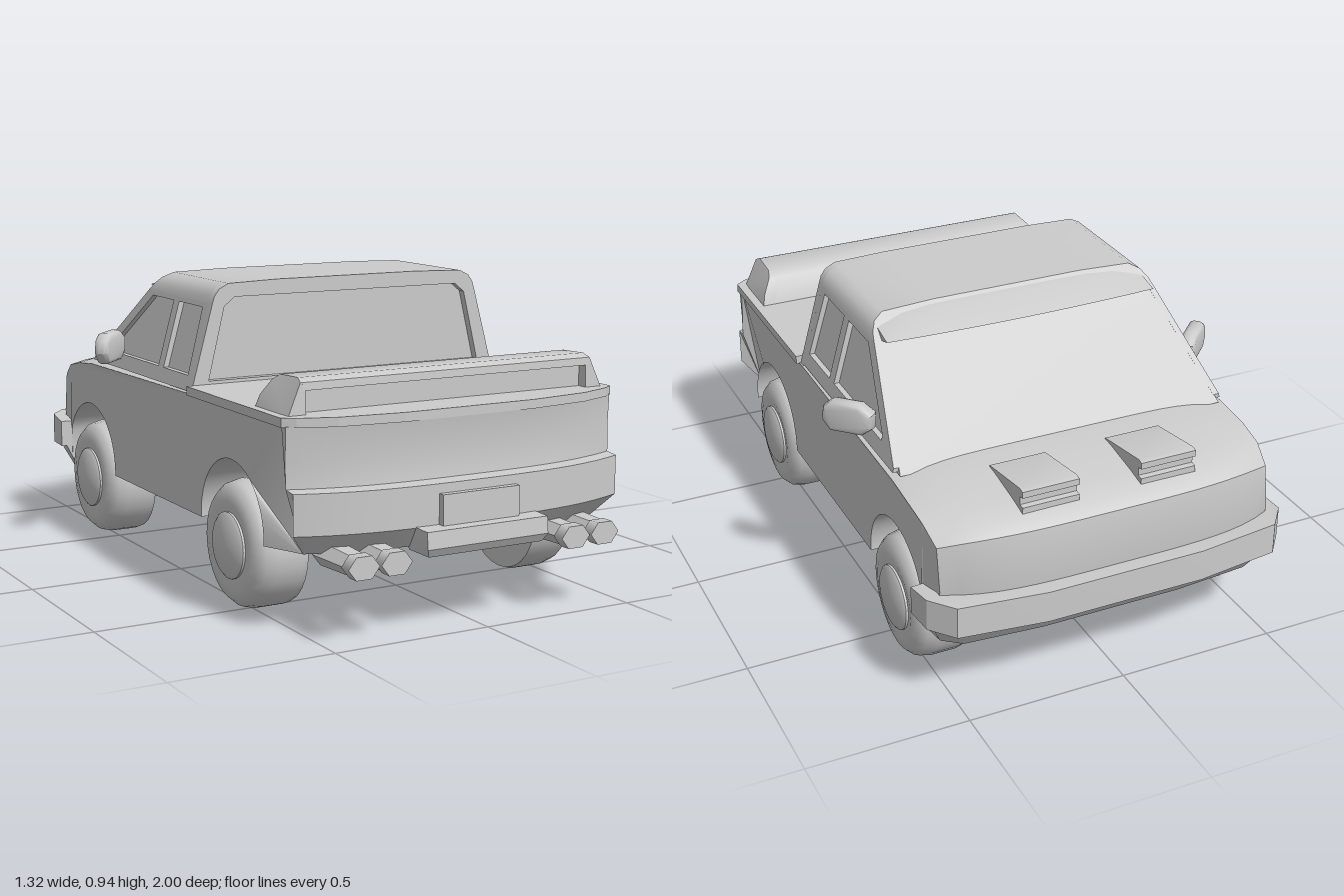
import * as THREE from 'three';
import { toCreasedNormals } from 'three/addons/utils/BufferGeometryUtils.js';

const material = new THREE.MeshStandardMaterial({ color: 0xcccccc });

const shapeOf = (pts) => new THREE.Shape(pts.map(([a, b]) => new THREE.Vector2(a, b)));
const mirrored = (half) => [...half, ...half.map(([x, y]) => [-x, y]).reverse()];
const clamp = THREE.MathUtils.clamp;

// Moves every vertex by a rule, then recomputes normals with sharp creases
function finish(geo, rule, crease = 0.6) {
  const p = geo.attributes.position;
  const v = new THREE.Vector3();
  if (rule) {
    for (let i = 0; i < p.count; i++) {
      v.fromBufferAttribute(p, i);
      rule(v);
      p.setXYZ(i, v.x, v.y, v.z);
    }
  }
  return toCreasedNormals(geo, crease);
}

// Side profile given as (z, y), extruded across x and centred
function acrossX(shape, width, steps = 1) {
  const geo = new THREE.ExtrudeGeometry(shape, { depth: width, steps, bevelEnabled: false, curveSegments: 16 });
  return geo.rotateY(-Math.PI / 2).translate(width / 2, 0, 0);
}

// Plan outline given as (x, z), extruded upward from y0
function upward(pts, y0, height) {
  const geo = new THREE.ExtrudeGeometry(shapeOf(pts.map(([x, z]) => [x, -z])), { depth: height, bevelEnabled: false });
  return geo.rotateX(-Math.PI / 2).translate(0, y0, 0);
}

export function createModel() {
  const truck = new THREE.Group();
  truck.name = 'pickupTruck';
  const add = (name, geo, x = 0, y = 0, z = 0) => {
    const mesh = new THREE.Mesh(geo, material);
    mesh.name = name;
    mesh.position.set(x, y, z);
    truck.add(mesh);
    return mesh;
  };
  const box = (name, w, h, d, x, y, z) => add(name, new THREE.BoxGeometry(w, h, d), x, y, z);

  // Lower body with wheel arches, hood and tailgate
  const body = new THREE.Shape();
  body.moveTo(-0.92, 0.235);
  body.lineTo(-0.805, 0.235);
  body.absarc(-0.6, 0.245, 0.205, Math.PI, 0, true);
  body.lineTo(-0.395, 0.235);
  body.lineTo(0.275, 0.235);
  body.absarc(0.48, 0.245, 0.205, Math.PI, 0, true);
  body.lineTo(0.685, 0.235);
  [[0.89, 0.235], [0.94, 0.3], [0.94, 0.42], [0.895, 0.425], [0.885, 0.5], [0.9, 0.6], [0.82, 0.61],
    [-0.5, 0.615], [-0.58, 0.615], [-0.7, 0.603], [-0.82, 0.583], [-0.9, 0.565], [-0.935, 0.54], [-0.955, 0.38]]
    .forEach(([z, y]) => body.lineTo(z, y));
  add('body', finish(acrossX(body, 1.11, 20), (v) => {
    const e = Math.abs(v.x) / 0.555;
    const end = clamp((Math.abs(v.z) - 0.78) / 0.12, 0, 1);
    const tuck = v.z > 0.7 ? clamp((0.3 - v.y) / 0.065, 0, 1) : 0;
    v.x *= (1 - 0.1 * tuck) * (v.z < -0.8 ? 1 - 0.03 * end : 1);
    if (v.z < -0.4 && v.y > 0.53) v.y -= 0.025 * e ** 6;
    v.z -= Math.sign(v.z) * end * (v.z > 0 ? 0.08 * e ** 3 : 0.07 * e ** 4);
  }));
  box('underbody', 0.79, 0.27, 1.62, 0, 0.36, -0.05);

  // Bed cover with overhanging lip
  const lip = mirrored([[0.565, 0.2], [0.565, 0.81], [0.53, 0.835], [0.42, 0.875], [0.22, 0.9]]);
  add('bedCover', upward(lip, 0.598, 0.027));

  // Cab core with sloping windshield
  const sideX = (y) => 0.55 - (y - 0.6) * 0.278;
  const core = mirrored([[0.533, 0.6], [0.458, 0.866], [0.475, 0.87], [0.468, 0.892], [0.452, 0.914], [0.42, 0.93], [0.25, 0.935]]);
  const extrudeZ = (shape, depth) => new THREE.ExtrudeGeometry(shape, { depth, bevelEnabled: false });
  add('cab', finish(extrudeZ(shapeOf(core), 1), (v) => {
    const front = -0.56 + (v.y - 0.63) * 1.21;
    v.z = front + (0.175 - front) * v.z;
  }));

  // Rear window surround
  const surround = shapeOf(mirrored([[0.55, 0.6], [0.475, 0.87], [0.468, 0.892], [0.452, 0.914], [0.42, 0.93], [0.25, 0.935]]));
  surround.holes.push(shapeOf([[-0.49, 0.635], [0.49, 0.635], [0.435, 0.86], [0.4, 0.888], [-0.4, 0.888], [-0.435, 0.86]]));
  add('rearWindowFrame', finish(extrudeZ(surround, 0.027), (v) => { v.z += 0.174; }));

  // Side window frames
  for (const s of [1, -1]) {
    const frame = shapeOf([[0.2, 0.605], [0.2, 0.87], [-0.27, 0.87], [-0.575, 0.618], [-0.575, 0.605]]);
    frame.holes.push(shapeOf([[0.15, 0.65], [0.14, 0.855], [-0.03, 0.855], [-0.03, 0.65]]));
    frame.holes.push(shapeOf([[-0.07, 0.65], [-0.07, 0.855], [-0.23, 0.855], [-0.46, 0.665], [-0.46, 0.65]]));
    add('sideWindowFrame', finish(acrossX(frame, 0.02), (v) => { v.x += s * (sideX(v.y) - 0.01); }));
  }

  // Roof visor over the windshield
  const visor = shapeOf([[-0.05, 0.932], [-0.15, 0.934], [-0.23, 0.922], [-0.325, 0.882], [-0.26, 0.868], [-0.05, 0.868]]);
  add('roofVisor', finish(acrossX(visor, 0.9, 10), (v) => {
    const e = Math.abs(v.x) / 0.45;
    if (v.z < -0.3) v.z += 0.015 * e ** 2;
    if (v.y > 0.9) v.y -= 0.022 * e ** 6;
  }));

  // Bed spoiler: recessed centre between two end blocks
  const spoiler = shapeOf([[0.6, 0.615], [0.615, 0.66], [0.64, 0.705], [0.67, 0.722], [0.77, 0.726], [0.795, 0.715], [0.797, 0.692], [0.765, 0.69], [0.765, 0.615]]);
  add('spoiler', finish(acrossX(spoiler, 0.98)));
  const spoilerEnd = shapeOf([[0.6, 0.615], [0.615, 0.66], [0.64, 0.705], [0.67, 0.722], [0.77, 0.726], [0.795, 0.715], [0.8, 0.615]]);
  for (const s of [1, -1]) {
    add('spoilerEnd', finish(acrossX(spoilerEnd, 0.06), (v) => {
      v.x += s * 0.51;
      if (Math.abs(v.x) > 0.5) v.x -= s * 0.05 * clamp((v.y - 0.64) / 0.085, 0, 1);
    }));
  }

  // Front bumper and lower valance
  const bumper = mirrored([[0.53, -0.79], [0.59, -0.795], [0.582, -0.89], [0.52, -0.965], [0.25, -1]]);
  add('frontBumper', finish(upward(bumper, 0.27, 0.1), (v) => {
    if (v.y > 0.3 && v.z > -0.85) v.y -= 0.012;
  }));
  add('frontValance', finish(upward(bumper, 0.187, 0.084), (v) => {
    const k = v.y < 0.2 ? 0.9 : 0.97;
    v.x *= k;
    v.z = -0.79 + (v.z + 0.79) * (v.y < 0.2 ? 0.58 : 0.88);
  }));

  // Rear step and plate panel
  const step = shapeOf([[0.88, 0.225], [0.985, 0.225], [1, 0.25], [0.995, 0.3], [0.88, 0.305]]);
  add('rearStep', finish(acrossX(step, 0.41), (v) => { if (v.y < 0.24) v.x *= 0.94; }));
  box('platePanel', 0.26, 0.09, 0.04, 0, 0.347, 0.94);

  for (const s of [1, -1]) {
    // Twin hexagonal exhaust tips
    for (const x of [0.305, 0.41]) {
      const pipe = new THREE.CylinderGeometry(0.043, 0.052, 0.18, 6).toNonIndexed();
      pipe.rotateY(Math.PI / 6).rotateX(Math.PI / 2).scale(1, 0.76, 1);
      const flat = finish(pipe, (v) => { if (v.z > 0) v.z -= 0; }, 0.3);
      add('exhaustTip', flat, s * x, 0.226, 0.89);
      add('exhaustCollar', new THREE.CylinderGeometry(0.05, 0.05, 0.04, 6).rotateY(Math.PI / 6).rotateX(Math.PI / 2).scale(1, 0.76, 1), s * x, 0.226, 0.98);
    }

    // Hood scoop with open-looking front slot
    const scoop = shapeOf([[-0.66, 0.6], [-0.66, 0.61], [-0.86, 0.642], [-0.878, 0.638], [-0.878, 0.618], [-0.862, 0.616], [-0.862, 0.59], [-0.88, 0.588], [-0.88, 0.56], [-0.68, 0.57]]);
    add('hoodScoop', finish(acrossX(scoop, 0.18)), s * 0.19);

    // Door mirror
    const head = shapeOf([[-0.07, -0.015], [-0.045, -0.035], [0.045, -0.035], [0.065, -0.01], [0.06, 0.02], [0.04, 0.035], [-0.04, 0.035], [-0.07, 0.015]]);
    const mirrorGeo = new THREE.ExtrudeGeometry(head, { depth: 0.02, bevelThickness: 0.015, bevelSize: 0.015, bevelSegments: 2 });
    mirrorGeo.translate(0, 0, -0.01);
    if (s < 0) mirrorGeo.rotateY(Math.PI);
    mirrorGeo.rotateY(-s * Math.PI / 4);
    add('doorMirror', finish(mirrorGeo, null, 0.9), s * 0.59, 0.682, -0.335);

    // Wheels: tyre with rounded shoulder, and hub cap
    for (const z of [0.48, -0.6]) {
      const wheel = new THREE.Group();
      wheel.name = s > 0 ? 'leftWheel' : 'rightWheel';
      wheel.position.set(0, 0.193, z);
      wheel.rotation.y = s > 0 ? 0 : Math.PI;
      const parts = {
        tyre: [[0, 0.4], [0.188, 0.4], [0.193, 0.42], [0.193, 0.5], [0.185, 0.535], [0.165, 0.557], [0.13, 0.565], [0.1, 0.56], [0, 0.56]],
        hubCap: [[0.1, 0.55], [0.1, 0.567], [0.09, 0.575], [0, 0.577]],
      };
      for (const [name, pts] of Object.entries(parts)) {
        const lathe = new THREE.LatheGeometry(pts.map(([r, x]) => new THREE.Vector2(r, x)), 28).rotateZ(-Math.PI / 2);
        const mesh = new THREE.Mesh(finish(lathe, null, 0.7), material);
        mesh.name = name;
        wheel.add(mesh);
      }
      truck.add(wheel);
    }
  }
  return truck;
}
